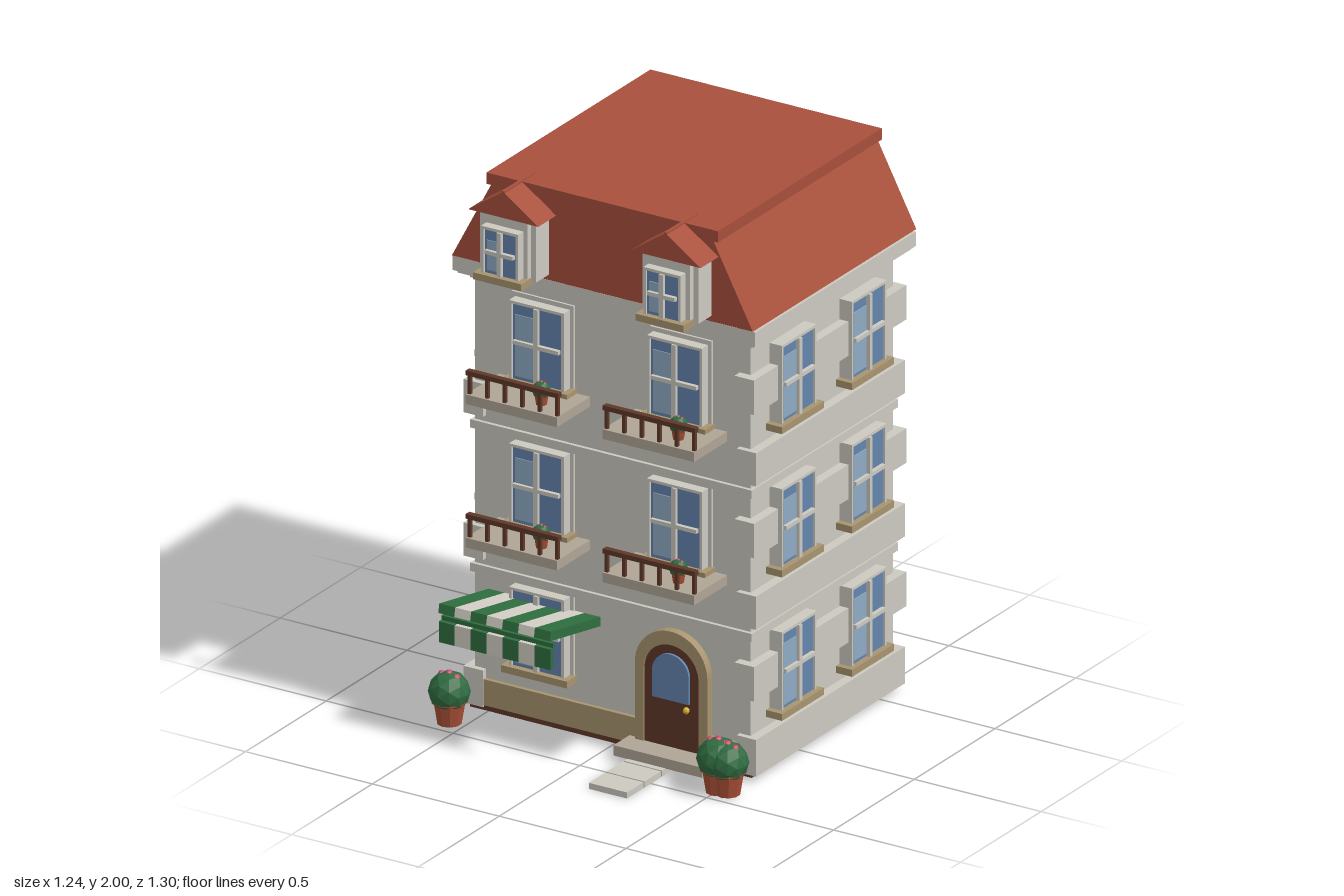
import * as THREE from 'three';

const mat = (color, flatShading = true) => new THREE.MeshStandardMaterial({ color, flatShading });
const M = {
  wall: mat(0xcccac0), trim: mat(0xcccac0), stone: mat(0xb0a596), tan: mat(0xa8946f), roof: mat(0xa8503c),
  glass: mat(0x6484ae), shine: mat(0x8fabc4), wood: mat(0x5e3828), green: mat(0x2f6e3f),
  white: mat(0xd4d0c6), pot: mat(0xa84f36), leaf: mat(0x2f6b40), pink: mat(0xc8506e), brass: mat(0xd8b030),
};

function add(parent, name, geo, material, x = 0, y = 0, z = 0) {
  const m = new THREE.Mesh(geo, material);
  m.name = name;
  m.position.set(x, y, z);
  parent.add(m);
  return m;
}

// Box given by its limits on each axis
function box(parent, name, material, x0, x1, y0, y1, z0, z1) {
  return add(parent, name, new THREE.BoxGeometry(x1 - x0, y1 - y0, z1 - z0), material,
    (x0 + x1) / 2, (y0 + y1) / 2, (z0 + z1) / 2);
}

function group(parent, name, x = 0, y = 0, z = 0, turn = 0) {
  const g = new THREE.Group();
  g.name = name;
  g.position.set(x, y, z);
  g.rotation.y = turn;
  parent.add(g);
  return g;
}

// Prism along z from a list of [x, y] corners
function prism(points, depth) {
  const s = new THREE.Shape(points.map(p => new THREE.Vector2(...p)));
  return new THREE.ExtrudeGeometry(s, { depth, bevelEnabled: false });
}

// Window facing +z; origin at the bottom middle of the glass, on the wall
function addWindow(parent, x, y, z, turn, w = 0.2, h = 0.275) {
  const g = group(parent, 'window', x, y, z, turn);
  const a = w / 2;
  box(g, 'glass', M.glass, -a, a, 0, h, -0.02, 0.037);
  box(g, 'lightPane', M.shine, -a + 0.012, -0.01, 0.012, h - 0.04, 0.03, 0.04);
  box(g, 'mullion', M.trim, -0.008, 0.008, 0, h, 0.03, 0.052);
  box(g, 'crossBar', M.trim, -a + 0.01, a - 0.01, h / 2 - 0.007, h / 2 + 0.007, 0.03, 0.052);
  for (const s of [-1, 1]) add(g, 'frameSide', new THREE.BoxGeometry(0.01, h, 0.05), M.trim, s * (a + 0.003), h / 2, 0.02);
  add(g, 'frameTop', new THREE.BoxGeometry(w + 0.016, 0.01, 0.05), M.trim, 0, h + 0.004, 0.02);
  box(g, 'sill', M.tan, -a - 0.03, a + 0.03, -0.025, 0, -0.01, 0.06);
}

// Potted bush with flowers, unit scale about 0.2 high
function addPot(parent, x, y, z, s = 1) {
  const g = group(parent, 'pottedPlant', x, y, z);
  g.scale.setScalar(s);
  const profile = [[0, 0], [0.046, 0], [0.06, 0.085], [0.068, 0.085], [0.068, 0.108], [0.054, 0.108], [0, 0.1]];
  add(g, 'pot', new THREE.LatheGeometry(profile.map(p => new THREE.Vector2(...p)), 10), M.pot);
  add(g, 'bush', new THREE.IcosahedronGeometry(0.078, 1), M.leaf, 0, 0.125, 0);
  for (const i of [-1, 0, 1])
    add(g, 'flower', new THREE.IcosahedronGeometry(0.016, 0), M.pink, i * 0.032, 0.195 - Math.abs(i) * 0.01, 0);
}

// Balcony with a front railing
function addBalcony(parent, x, y) {
  const g = group(parent, 'balcony', x, y, 0);
  box(g, 'slab', M.stone, -0.18, 0.18, 0, 0.035, 0.29, 0.5);
  box(g, 'handrail', M.wood, -0.182, 0.182, 0.103, 0.12, 0.475, 0.497);
  for (let i = 0; i < 6; i++)
    add(g, 'baluster', new THREE.BoxGeometry(0.012, 0.075, 0.012), M.wood, -0.172 + i * 0.0688, 0.07, 0.486);
  addPot(g, 0.075, 0.035, 0.432, 0.41);
}

// Dormer with a gable roof
function addDormer(parent, x) {
  const g = group(parent, 'dormer', x);
  box(g, 'dormerBody', M.wall, -0.11, 0.11, 1.685, 1.91, 0.3, 0.442);
  box(g, 'dormerFace', M.trim, -0.09, 0.09, 1.685, 1.9, 0.44, 0.462);
  add(g, 'dormerRoof', prism([[-0.138, 1.905], [0.138, 1.905], [0, 2]], 0.19), M.roof, 0, 0, 0.282);
  add(g, 'ridge', new THREE.BoxGeometry(0.012, 0.008, 0.19), M.roof, 0, 1.998, 0.377);
  addWindow(g, 0, 1.7, 0.45, 0, 0.13, 0.16);
}

// Round-headed outline from y = 0
function arch(r, h) {
  const s = new THREE.Shape();
  s.moveTo(-r, 0);
  s.lineTo(r, 0);
  s.lineTo(r, h);
  s.absarc(0, h, r, 0, Math.PI, false);
  s.lineTo(-r, 0);
  return s;
}
const archGeo = (shape, depth) => new THREE.ExtrudeGeometry(shape, { depth, bevelEnabled: false, curveSegments: 16 });

function addDoor(parent) {
  const g = group(parent, 'entrance', 0.248, 0.06, 0.29);
  const surround = arch(0.143, 0.28);
  surround.holes.push(arch(0.108, 0.266));
  add(g, 'doorSurround', archGeo(surround, 0.035), M.tan);
  add(g, 'door', archGeo(arch(0.109, 0.266), 0.05), M.wood, 0, 0, -0.02);
  add(g, 'doorGlass', archGeo(arch(0.072, 0.095), 0.012), M.glass, 0, 0.175, 0.028);
  add(g, 'doorKnob', new THREE.SphereGeometry(0.012, 8, 6), M.brass, 0.068, 0.157, 0.048);
  box(parent, 'doorStep', M.stone, 0.075, 0.425, 0.025, 0.062, 0.28, 0.41);
  for (let i = 0; i < 3; i++) box(parent, 'pathSlab', M.trim, 0.13, 0.28, 0.004, 0.026, 0.33 + i * 0.108, 0.432 + i * 0.108);
}

// Striped awning with a hanging valance
function addAwning(parent) {
  const g = group(parent, 'awning');
  const w = 0.44 / 7;
  for (let i = 0; i < 7; i++) {
    const m = i % 2 ? M.white : M.green;
    const x = -0.49 + (i + 0.5) * w;
    const top = add(g, 'awningStripe', new THREE.BoxGeometry(w, 0.033, 0.32), m, x, 0.468, 0.447);
    top.rotation.x = -0.19;
    add(g, 'valance', new THREE.BoxGeometry(w, 0.075, 0.02), m, x, 0.413, 0.594);
  }
  box(g, 'awningRail', M.green, -0.49, -0.05, 0.45, 0.466, 0.575, 0.588);
}

export function createModel() {
  const model = new THREE.Group();
  model.name = 'townHouse';

  // Walls, plinth and floor belts
  box(model, 'walls', M.wall, -0.543, 0.543, 0.03, 1.61, -0.585, 0.295);
  box(model, 'basePlate', M.wood, -0.555, 0.555, 0.018, 0.036, -0.6, 0.308);
  box(model, 'plinth', M.tan, -0.55, 0.55, 0.036, 0.13, -0.6, 0.31);
  for (const y of [0.5, 1.02]) box(model, 'floorBelt', M.trim, -0.555, 0.555, y + 0.01, y + 0.04, -0.598, 0.308);
  box(model, 'upperBelt', M.trim, -0.555, 0.555, 1.575, 1.605, -0.598, 0.308);

  // Stone bands at the sides
  for (let f = 0; f < 3; f++) {
    const y = f * 0.52;
    for (const s of [-1, 1]) {
      const [a, b] = s < 0 ? [-0.577, -0.5] : [0.5, 0.577];
      box(model, 'stoneBand', M.trim, a, b, f ? y + 0.043 : 0.03, y + 0.163, -0.607, 0.315);
      box(model, 'stoneBand', M.trim, a, b, y + 0.307, y + 0.432, -0.615, s < 0 ? -0.49 : 0.328);
    }
  }

  // Windows on all sides
  for (let f = 0; f < 3; f++) {
    const y = 0.222 + f * 0.52;
    for (const s of [-1, 1]) {
      if (f || s < 0) {
        box(model, 'windowSurround', M.trim, s * 0.272 - 0.122, s * 0.272 + 0.122, y - 0.02, y + 0.3, 0.28, 0.303);
        addWindow(model, s * 0.272, y, 0.297, 0);
      }
      addWindow(model, s * 0.272, y, -0.583, Math.PI);
      for (const side of [-1, 1]) addWindow(model, side * 0.546, y, -0.147 + s * 0.217, side * Math.PI / 2);
      if (f) addBalcony(model, s * 0.27, 0.165 + f * 0.52 + 0.005);
    }
  }

  // Cornice and mansard roof
  box(model, 'corniceCore', M.trim, -0.585, 0.585, 1.597, 1.67, -0.632, 0.34);
  box(model, 'cornice', M.trim, -0.597, 0.597, 1.608, 1.66, -0.644, 0.352);
  const mansard = [[-0.593, 1.665], [0.593, 1.665], [0.437, 1.96], [-0.437, 1.96]];
  add(model, 'mansardRoof', prism(mansard, 1.013), M.roof, 0, 0, -0.652);
  box(model, 'roofCap', M.roof, -0.456, 0.456, 1.957, 1.998, -0.654, 0.362);
  for (const x of [-0.32, 0.32]) addDormer(model, x);

  addDoor(model);
  addAwning(model);

  // Potted plants in front
  addPot(model, -0.553, 0.008, 0.44, 0.92);
  addPot(model, 0.508, 0.008, 0.44, 0.96);
  addPot(model, 0.545, 0.008, 0.44, 0.92);
  return model;
}
